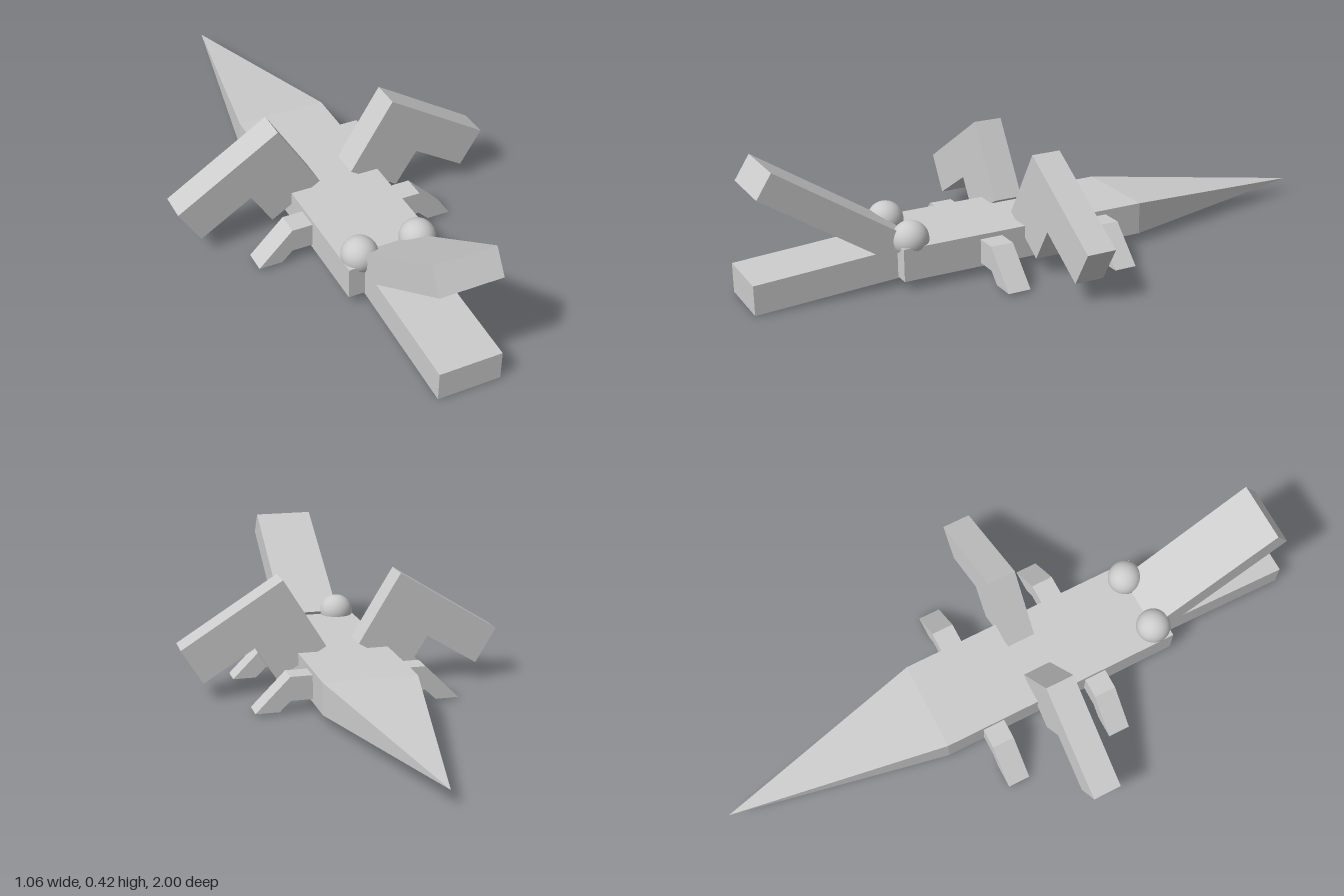
import * as THREE from 'three';

const flat = new THREE.MeshStandardMaterial({ color: 0xcccccc, flatShading: true });
const smooth = new THREE.MeshStandardMaterial({ color: 0xcccccc });

function add(parent, name, geometry, material = flat) {
  const mesh = new THREE.Mesh(geometry, material);
  mesh.name = name;
  parent.add(mesh);
  return mesh;
}

// Slab with the given outline, centred on its thickness.
function slab(points, depth) {
  const shape = new THREE.Shape(points.map(([x, y]) => new THREE.Vector2(x, y)));
  return new THREE.ExtrudeGeometry(shape, { depth, bevelEnabled: false }).translate(0, 0, -depth / 2);
}

// Slab with a side outline given as [z, y], running across x.
const sideSlab = (points, width) => slab(points, width).rotateY(-Math.PI / 2);

export function createModel() {
  const model = new THREE.Group();
  model.name = 'crocodile';

  // Body block
  add(model, 'body', new THREE.BoxGeometry(0.302, 0.104, 0.83)).position.set(-0.002, 0.087, 0.135);

  // Tail: a block whose rear face is drawn into a point
  const tail = new THREE.BoxGeometry(0.302, 0.104, 0.72);
  tail.translate(-0.002, 0.087, -0.64);
  const p = tail.attributes.position;
  for (let i = 0; i < p.count; i++) {
    if (p.getZ(i) < -0.9) p.setXYZ(i, -0.013, 0.055, -1);
  }
  tail.computeVertexNormals();
  add(model, 'tail', tail);

  // Open jaws
  add(model, 'lowerJaw', sideSlab([[0.505, 0.033], [1, 0.004], [1, 0.097], [0.505, 0.128]], 0.2));
  add(model, 'upperJaw', sideSlab([[0.55, 0.075], [0.973, 0.353], [0.925, 0.428], [0.5, 0.15]], 0.2));

  // Eyes, bent arms and short legs on both sides
  const armOutline = [[0.196, 0.384], [0.055, 0.156], [0.22, 0.055], [0.29, 0.166], [0.46, 0.061], [0.53, 0.175]];
  const legOutline = [[0.13, 0.124], [0.13, 0.046], [0.22, 0.046], [0.255, 0.012], [0.332, 0.012], [0.22, 0.124]];
  for (const side of [-1, 1]) {
    const label = side > 0 ? 'left' : 'right';
    const mirror = (outline) => outline.map(([x, y]) => [x * side, y]);
    add(model, label + 'Eye', new THREE.SphereGeometry(0.057, 32, 20), smooth).position.set(side * 0.097, 0.149, 0.505);
    add(model, label + 'Arm', slab(mirror(armOutline), 0.095)).position.z = 0.093;
    add(model, label + 'FrontLeg', slab(mirror(legOutline), 0.074)).position.z = 0.258;
    add(model, label + 'BackLeg', slab(mirror(legOutline), 0.074)).position.z = -0.115;
  }
  return model;
}
